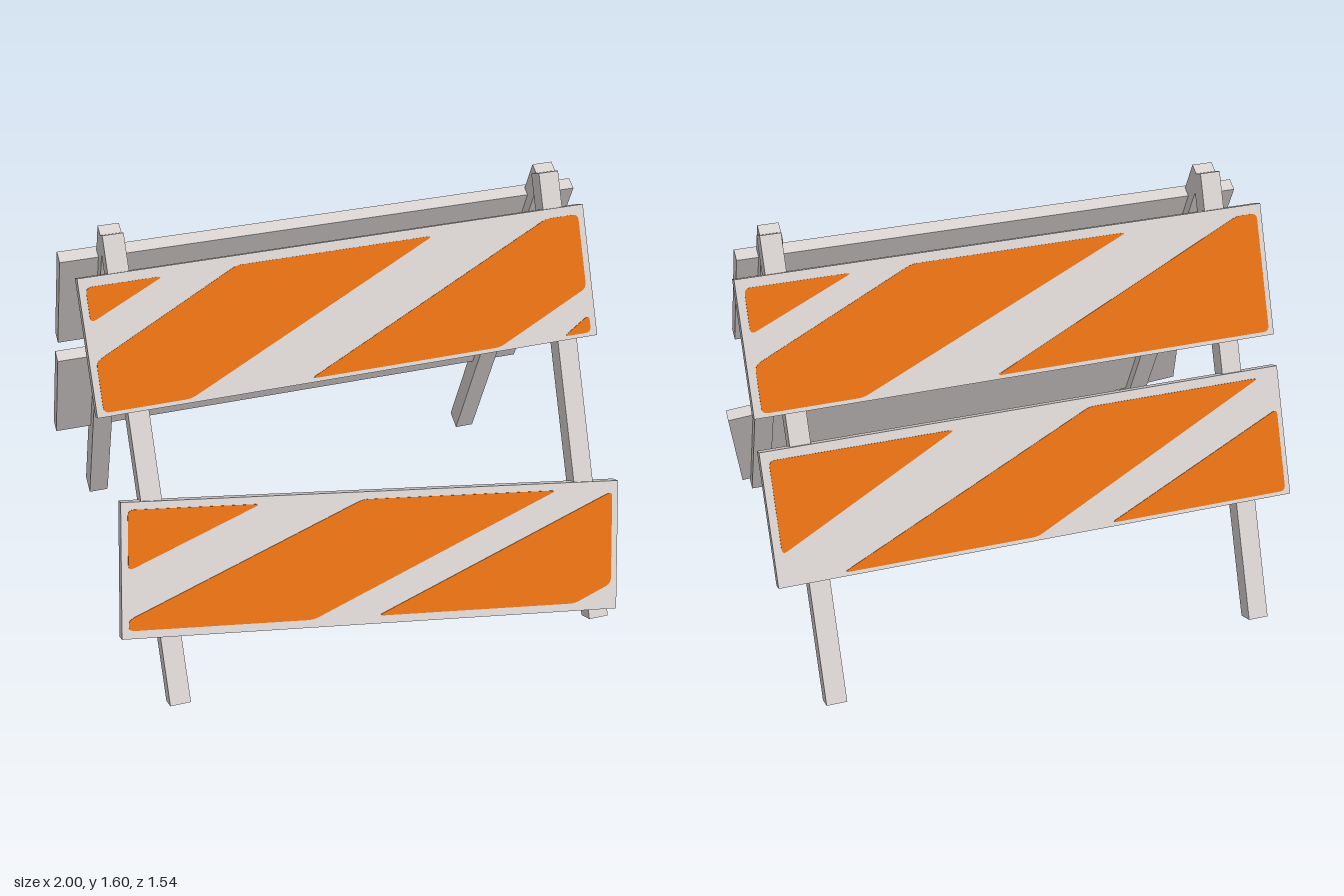
import * as THREE from 'three';

const TILT = THREE.MathUtils.degToRad(25);
const NY = Math.sin(TILT), NZ = Math.cos(TILT);

const white = new THREE.MeshStandardMaterial({ color: 0xd6d1cf });
white.name = 'paleGrey';
const orange = new THREE.MeshStandardMaterial({ color: 0xe26e12 });
orange.name = 'signalOrange';

// Polygon with softly rounded corners
function roundedShape(points, radius = 0.022) {
  const p = points.map(([x, y]) => new THREE.Vector2(x, y));
  const shape = new THREE.Shape();
  p.forEach((c, i) => {
    const prev = p[(i + p.length - 1) % p.length];
    const next = p[(i + 1) % p.length];
    const cut = (to) => c.clone().lerp(to, Math.min(0.4, radius / c.distanceTo(to)));
    const a = cut(prev), b = cut(next);
    if (i === 0) shape.moveTo(a.x, a.y);
    else shape.lineTo(a.x, a.y);
    shape.quadraticCurveTo(c.x, c.y, b.x, b.y);
  });
  shape.closePath();
  return shape;
}

// Board with thin painted stripes; x, y, z is the centre of its outer face
function board(name, width, [x, y, z], roll, stripes) {
  const group = new THREE.Group();
  group.name = name;
  const thick = 0.05;
  const panel = new THREE.Mesh(new THREE.BoxGeometry(width, 0.5, thick), white);
  panel.name = 'panel';
  panel.position.z = -thick / 2;
  group.add(panel);
  for (const points of stripes) {
    const geo = new THREE.ExtrudeGeometry(roundedShape(points), {
      depth: 0.004, bevelEnabled: false, curveSegments: 4,
    });
    const stripe = new THREE.Mesh(geo, orange);
    stripe.name = 'stripe';
    stripe.position.z = -0.001;
    group.add(stripe);
  }
  group.position.set(x, y, z);
  group.rotation.set(-TILT, 0, roll);
  return group;
}

// Leaning leg
function leg(x) {
  const size = 0.077;
  const mesh = new THREE.Mesh(new THREE.BoxGeometry(size, 1.727, size), white);
  mesh.name = 'leg';
  mesh.position.set(x, 0.8175 - NY * size / 2, 0.405 - NZ * size / 2);
  mesh.rotation.x = -TILT;
  return mesh;
}

// Stripe outlines in board coordinates
const frontUpper = [
  [[-0.94, 0.215], [-0.66, 0.215], [-0.94, 0.088]],
  [[-0.39, 0.215], [0.36, 0.215], [-0.62, -0.235], [-0.94, -0.235], [-0.94, -0.05]],
  [[0.81, 0.215], [0.94, 0.215], [0.94, -0.065], [0.57, -0.235], [-0.17, -0.235]],
  [[0.94, -0.168], [0.94, -0.235], [0.83, -0.235]],
];
const frontLower = [
  [[-0.94, 0.222], [-0.45, 0.222], [-0.94, 0]],
  [[-0.06, 0.222], [0.71, 0.222], [-0.25, -0.22], [-0.94, -0.22], [-0.94, -0.18]],
  [[0.94, 0.21], [0.94, -0.15], [0.79, -0.22], [0, -0.22]],
];
const backUpper = [
  [[-0.97, 0.215], [-0.58, 0.215], [-0.97, 0.05]],
  [[-0.36, 0.215], [0.46, 0.215], [-0.6, -0.235], [-0.97, -0.235], [-0.97, -0.06]],
  [[0.9, 0.215], [0.98, 0.215], [0.98, -0.235], [-0.1, -0.235]],
];
const backLower = [
  [[-0.97, 0.215], [-0.28, 0.215], [-0.97, -0.13]],
  [[0.24, 0.215], [0.92, 0.215], [-0.02, -0.235], [-0.76, -0.235]],
  [[0.98, 0.085], [0.98, -0.235], [0.27, -0.235]],
];

export function createModel() {
  const model = new THREE.Group();
  model.name = 'foldingBarricade';

  // Front frame, with its lower board hanging crooked
  const front = new THREE.Group();
  front.name = 'frontFrame';
  front.add(
    leg(-0.82), leg(0.841),
    board('upperBoard', 1.93, [-0.005, 1.254, 0.2125], 0, frontUpper),
    board('crookedLowerBoard', 1.93, [-0.009, 0.401, 0.608], -0.134, frontLower),
  );

  // Back frame, turned to face the rear
  const back = new THREE.Group();
  back.name = 'backFrame';
  back.add(
    leg(-0.848), leg(0.82),
    board('upperBoard', 2, [0, 1.254, 0.2195], 0, backUpper),
    board('lowerBoard', 2, [0, 0.689, 0.479], 0, backLower),
  );
  back.rotation.y = Math.PI;

  model.add(front, back);
  return model;
}
